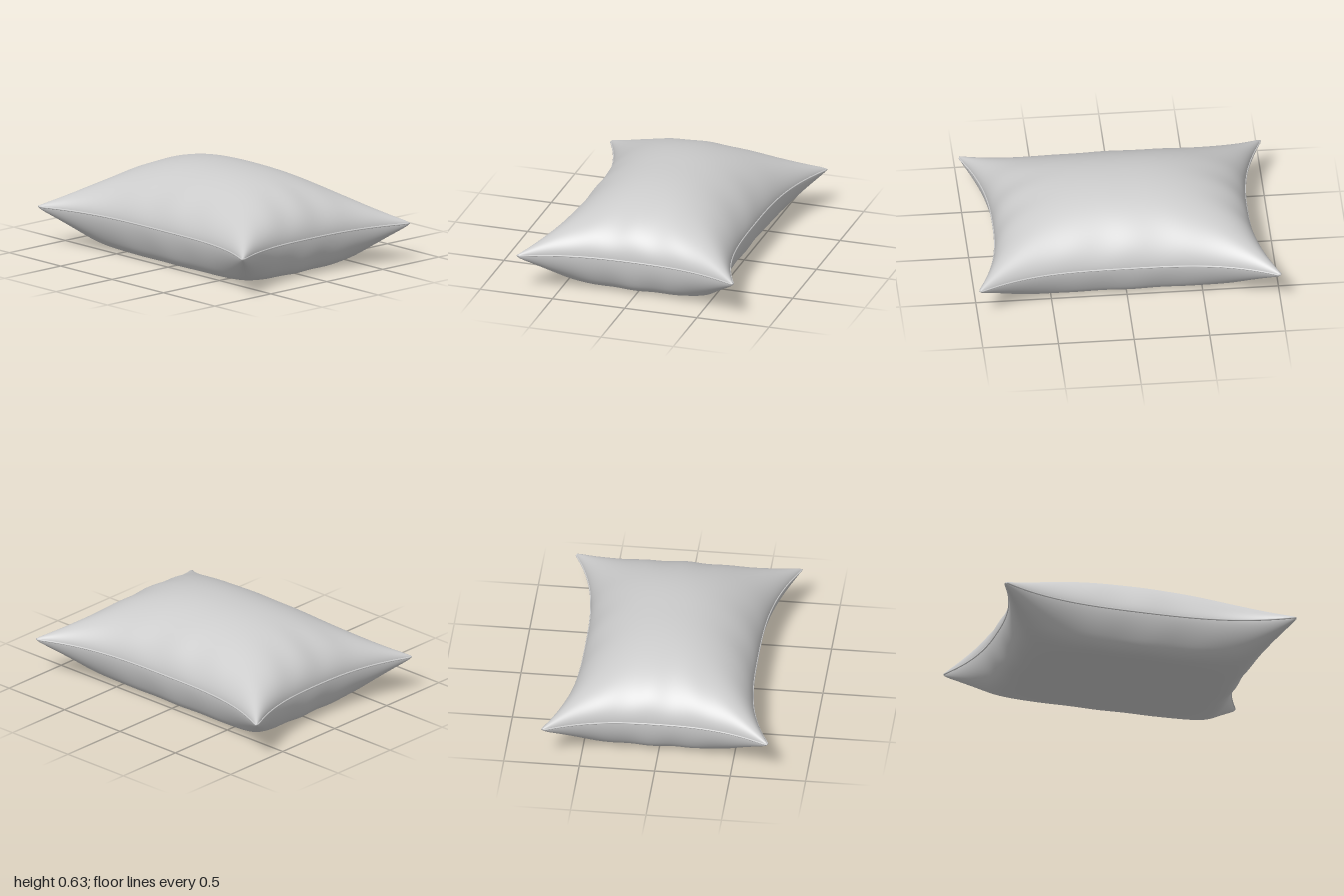
import * as THREE from 'three';

const material = new THREE.MeshStandardMaterial({ color: 0xcccccc, side: THREE.DoubleSide });
const SEGMENTS = 96;

// Plan position of cloth coordinates (u, v): edges pulled in at the middle, corners slightly rounded
function plan(u, v) {
  const a = Math.abs(u), b = Math.abs(v);
  const tip = 1 - 0.03 * Math.pow(a * b, 30);
  return [
    u * (0.84 + 0.18 * Math.pow(b, 2.5)) * tip,
    v * (0.57 + 0.20 * Math.pow(a, 3)) * tip,
  ];
}

// Height of the seam, rising a little to the corners
const seamHeight = (u, v) => 0.262 + 0.01 * u * u * v * v;

// Stuffing thickness, 0 on the seam and 1 in the middle
function fullness(u, v) {
  const fu = Math.pow(Math.max(0, 1 - Math.pow(Math.abs(u), 2.5)), 0.5);
  const fv = Math.pow(Math.max(0, 1 - Math.pow(Math.abs(v), 2.1)), 0.6);
  return fu * fv;
}

// Soft folds that run in from the middle of each edge
function folds(u, v) {
  const fold = (along, across, phase) =>
    Math.sin(15 * along + phase) * Math.exp(-Math.pow(along / 0.5, 2)) * Math.pow(across, 6);
  return 1 + 0.06 * (fold(u, v, v > 0 ? 0.6 : 2.1) + fold(v, u, u > 0 ? 1.2 : 2.8));
}

// Smooth minimum, rounding the flattened underside into the sides
function softMin(a, b, k) {
  const h = Math.max(k - Math.abs(a - b), 0) / k;
  return Math.min(a, b) - h * h * k * 0.25;
}

// One cloth panel; side is 1 for the top and -1 for the underside
function panel(side) {
  const geometry = new THREE.PlaneGeometry(2, 2, SEGMENTS, SEGMENTS);
  const p = geometry.attributes.position;
  for (let i = 0; i < p.count; i++) {
    // rows crowd towards the seam, where the cloth curves most
    const u = Math.sin(p.getX(i) * Math.PI / 2);
    const v = Math.sin(-side * p.getY(i) * Math.PI / 2);
    const [x, z] = plan(u, v);
    const seam = seamHeight(u, v);
    const f = fullness(u, v) * folds(u, v);
    const y = side > 0
      ? seam + (0.63 - seam) * f
      : Math.max(0, seam - softMin(0.5 * f, seam, 0.08));
    p.setXYZ(i, x, y, z);
  }
  geometry.computeVertexNormals();
  return geometry;
}

// Thin bead along the outline
function seamBead() {
  const points = [];
  const n = 40;
  for (let edge = 0; edge < 4; edge++) {
    for (let i = 0; i < n; i++) {
      const t = Math.sin((i / n - 0.5) * Math.PI);
      const [u, v] = [[t, -1], [1, t], [-t, 1], [-1, -t]][edge];
      const [x, z] = plan(u, v);
      points.push(new THREE.Vector3(x, seamHeight(u, v), z));
    }
  }
  return new THREE.TubeGeometry(new THREE.CatmullRomCurve3(points, true), 400, 0.006, 8, true);
}

export function createModel() {
  const pillow = new THREE.Group();
  pillow.name = 'pillow';
  const add = (name, geometry) => {
    const mesh = new THREE.Mesh(geometry, material);
    mesh.name = name;
    pillow.add(mesh);
  };
  add('topPanel', panel(1));
  add('bottomPanel', panel(-1));
  add('seam', seamBead());
  return pillow;
}
